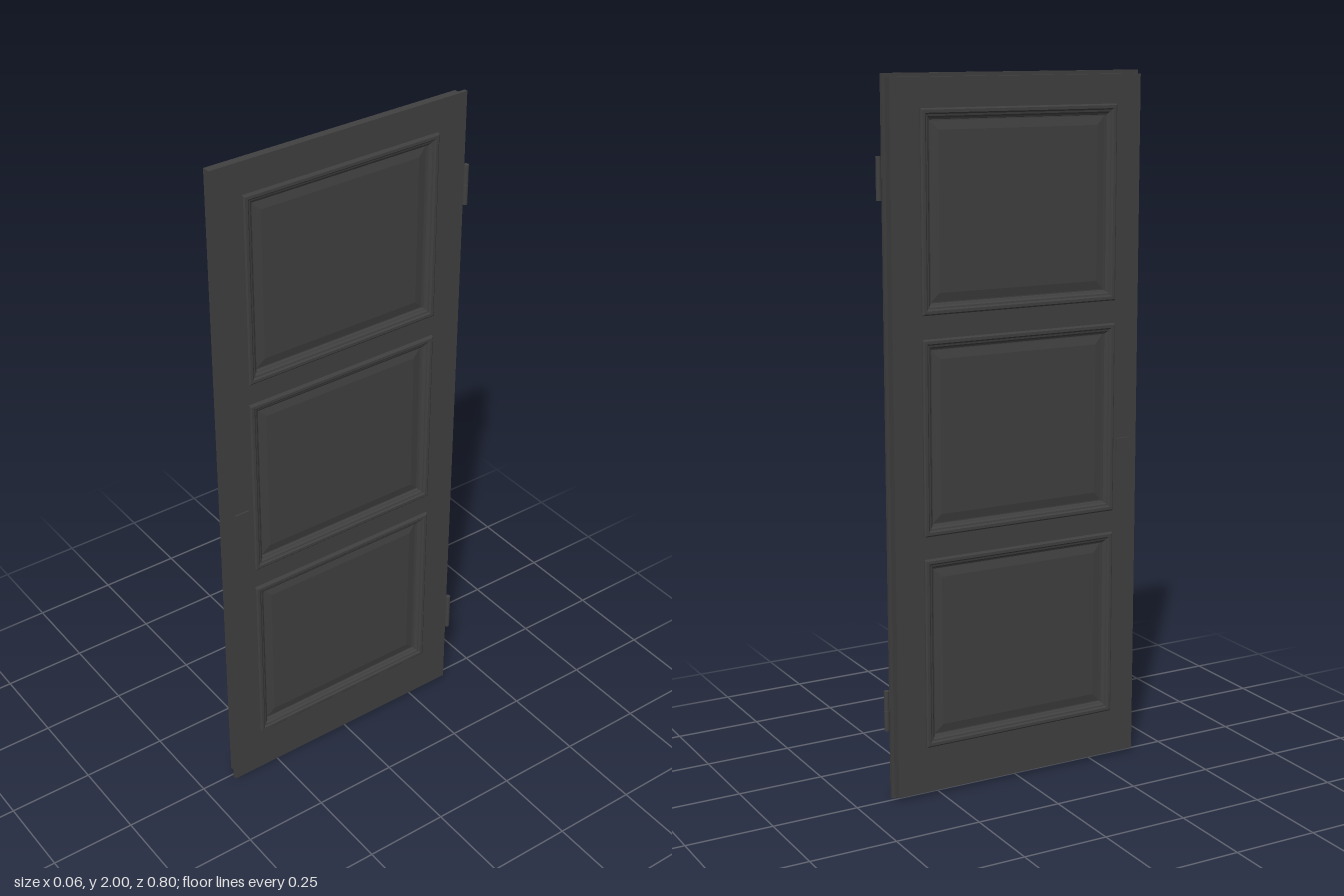
import * as THREE from 'three';

const dark = new THREE.MeshStandardMaterial({ color: 0x404040 });
const PANEL_Z = 0.0075, HALF_W = 0.3025, HALF_H = 0.2725;
const PANEL_Y = [0.4175, 1.0275, 1.6375];

// [inset from the outer edge, height above the door's middle plane]
const MOULDING = [[0, 0.018], [0, 0.027], [0.004, 0.03], [0.012, 0.03], [0.016, 0.0265],
  [0.021, 0.0255], [0.025, 0.021], [0.029, 0.019], [0.03, 0.011]];
const FIELD = [[0.028, 0.012], [0.033, 0.012], [0.057, 0.017]];

function add(parent, geometry, name) {
  const mesh = new THREE.Mesh(geometry, dark);
  mesh.name = name;
  parent.add(mesh);
  return mesh;
}

function box(parent, name, x0, x1, y0, y1, z0, z1) {
  const mesh = add(parent, new THREE.BoxGeometry(x1 - x0, y1 - y0, z1 - z0), name);
  mesh.position.set((x0 + x1) / 2, (y0 + y1) / 2, (z0 + z1) / 2);
  return mesh;
}

// Nested rectangular rings facing +x, mitred at the corners
function ringsGeometry(profile, capped) {
  const rings = profile.map(([d, x]) => [[1, -1], [-1, -1], [-1, 1], [1, 1]]
    .map(([sz, sy]) => [x, sy * (HALF_H - d), sz * (HALF_W - d)]));
  const points = [];
  const quad = (a, b, c, d) => points.push(...a, ...b, ...c, ...a, ...c, ...d);
  for (let r = 0; r < rings.length - 1; r++) {
    for (let i = 0; i < 4; i++) {
      const j = (i + 1) % 4;
      quad(rings[r][i], rings[r][j], rings[r + 1][j], rings[r + 1][i]);
    }
  }
  if (capped) quad(...rings[rings.length - 1]);
  const geometry = new THREE.BufferGeometry();
  geometry.setAttribute('position', new THREE.Float32BufferAttribute(points, 3));
  geometry.computeVertexNormals();
  return geometry;
}

function rectangle(path, z0, z1, y0, y1) {
  path.moveTo(z0, y0);
  path.lineTo(z1, y0);
  path.lineTo(z1, y1);
  path.lineTo(z0, y1);
  path.closePath();
  return path;
}

// Slab with three panel openings, spanning x0..x1
function slabGeometry(x0, x1, y0, y1, z0, z1) {
  const shape = rectangle(new THREE.Shape(), z0, z1, y0, y1);
  const w = HALF_W - 0.02, h = HALF_H - 0.02;
  for (const y of PANEL_Y) {
    shape.holes.push(rectangle(new THREE.Path(), PANEL_Z - w, PANEL_Z + w, y - h, y + h));
  }
  const geometry = new THREE.ExtrudeGeometry(shape, { depth: x1 - x0, bevelEnabled: false });
  return geometry.rotateY(-Math.PI / 2).translate(x1, 0, 0);
}

export function createModel() {
  const door = new THREE.Group();
  door.name = 'door';

  // Rebated leaf: thicker core and a slightly larger covering lip
  add(door, slabGeometry(-0.02, 0.009, 0.01, 1.99, -0.38, 0.39), 'leafCore');
  add(door, slabGeometry(0.009, 0.02, 0, 2, -0.388, 0.4), 'leafLip');

  // Panels with mouldings on both faces
  const moulding = ringsGeometry(MOULDING, false);
  const field = ringsGeometry(FIELD, true);
  PANEL_Y.forEach((y, i) => {
    const panel = new THREE.Group();
    panel.name = 'panel' + (i + 1);
    panel.position.set(0, y, PANEL_Z);
    for (const turn of [0, Math.PI]) {
      add(panel, moulding, 'moulding').rotation.y = turn;
      add(panel, field, 'raisedField').rotation.y = turn;
    }
    door.add(panel);
  });

  // Square lock plates on both faces
  box(door, 'lockPlateOuter', 0.02, 0.024, 0.92, 0.965, 0.322, 0.365);
  box(door, 'lockPlateInner', -0.025, -0.02, 0.92, 0.965, 0.322, 0.365);

  // Hinges: two-part knuckle on a pin, with a plate let into the edge
  for (const y of [0.26, 1.73]) {
    const hinge = new THREE.Group();
    hinge.name = 'hinge';
    hinge.position.set(0.017, y, -0.397);
    for (const side of [-1, 1]) {
      const knuckle = add(hinge, new THREE.CylinderGeometry(0.0075, 0.0075, 0.057, 20), 'knuckle');
      knuckle.position.y = side * 0.0295;
    }
    add(hinge, new THREE.CylinderGeometry(0.005, 0.005, 0.116, 12), 'pin');
    box(hinge, 'hingePlate', -0.005, 0.001, 0.002, 0.058, 0, 0.012);
    door.add(hinge);
  }
  return door;
}
